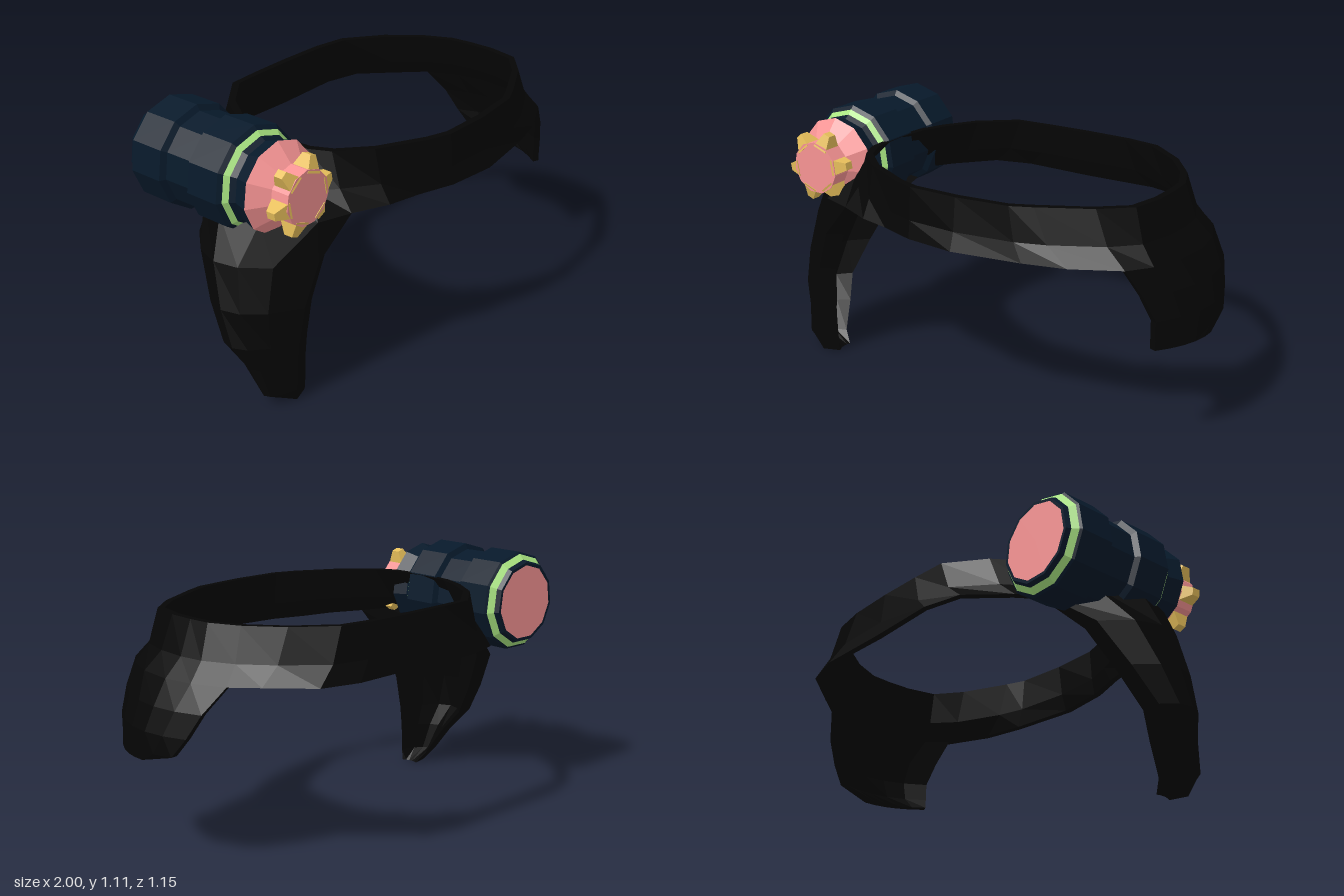
import * as THREE from 'three';

const CENTRE_X = 0.1;
const WALL = 0.03;
const mat = (color) => new THREE.MeshStandardMaterial({ color, flatShading: true });
const lerp = THREE.MathUtils.lerp;

// Plan of the headband, one column per line: top x, z then bottom x, z
const PLAN = [
  [0.79, 0, 0.92, 0], [0.785, 0.12, 0.9, 0.16], [0.75, 0.26, 0.85, 0.29], [0.63, 0.36, 0.775, 0.385],
  [0.42, 0.47, 0.58, 0.485], [0.33, 0.51, 0.4, 0.53], [0.1, 0.535, 0.1, 0.575], [-0.12, 0.53, -0.12, 0.55],
  [-0.22, 0.495, -0.28, 0.495], [-0.42, 0.385, -0.42, 0.46], [-0.54, 0.27, -0.57, 0.39],
  [-0.58, 0.18, -0.71, 0.34], [-0.585, 0.08, -0.85, 0.17], [-0.585, 0, -0.89, 0],
  [-0.56, -0.15, -0.8, -0.17], [-0.51, -0.26, -0.62, -0.27], [-0.42, -0.39, -0.55, -0.37],
  [-0.26, -0.515, -0.4, -0.53], [-0.1, -0.525, -0.23, -0.575], [0.1, -0.53, 0.1, -0.57],
  [0.31, -0.525, 0.43, -0.575], [0.46, -0.5, 0.6, -0.53], [0.62, -0.375, 0.75, -0.37],
  [0.73, -0.23, 0.84, -0.27], [0.785, -0.1, 0.9, -0.13],
];

const bandRow = (y, t) => PLAN.map(([x0, z0, x1, z1]) => [lerp(x0, x1, t), y, lerp(z0, z1, t)]);

// Wall from rows of points (top to bottom), offset towards the centre;
// rows below the first may be thicker
function wall(rows, closed, material, thickness = WALL) {
  const pos = [], idx = [];
  const h = rows.length, w = rows[0].length;
  for (const inner of [0, 1]) {
    rows.forEach((row, i) => {
      const depth = inner * (i === 0 ? WALL : thickness);
      for (const [x, y, z] of row) {
        const k = 1 - depth / Math.hypot(x - CENTRE_X, z);
        pos.push(CENTRE_X + (x - CENTRE_X) * k, y, z * k);
      }
    });
  }
  const out = (i, j) => i * w + (j % w);
  const inn = (i, j) => h * w + out(i, j);
  const quad = (a, b, c, d) => idx.push(a, b, c, b, d, c);
  const n = closed ? w : w - 1;
  for (let j = 0; j < n; j++) {
    for (let i = 0; i < h - 1; i++) {
      quad(out(i, j), out(i, j + 1), out(i + 1, j), out(i + 1, j + 1));
      quad(inn(i, j + 1), inn(i, j), inn(i + 1, j + 1), inn(i + 1, j));
    }
    quad(inn(0, j), inn(0, j + 1), out(0, j), out(0, j + 1));
    quad(out(h - 1, j), out(h - 1, j + 1), inn(h - 1, j), inn(h - 1, j + 1));
  }
  if (!closed) {
    for (let i = 0; i < h - 1; i++) {
      quad(inn(i, 0), out(i, 0), inn(i + 1, 0), out(i + 1, 0));
      quad(out(i, n), inn(i, n), out(i + 1, n), inn(i + 1, n));
    }
  }
  const geo = new THREE.BufferGeometry();
  geo.setAttribute('position', new THREE.Float32BufferAttribute(pos, 3));
  geo.setIndex(idx);
  geo.computeVertexNormals();
  return new THREE.Mesh(geo, material);
}

// Side flap hanging from six band columns; each level is y, zStart, zEnd, xStart, xMiddle, xEnd
function flap(columns, levels, material, thickness) {
  const bottom = bandRow(0.765, 1);
  const rows = [columns.map((c) => bottom[c])];
  for (const [y, z0, z1, x0, xm, x1] of levels) {
    rows.push(columns.map((_, j) => {
      const u = j / (columns.length - 1);
      const x = x0 * (1 - u) * (1 - 2 * u) + xm * 4 * u * (1 - u) + x1 * u * (2 * u - 1);
      return [x, y, lerp(z0, z1, u)];
    }));
  }
  return wall(rows, false, material, thickness);
}

// Lamp along +z, built from coloured lathe sections, with studs round its nose
function createLamp() {
  const lamp = new THREE.Group();
  lamp.name = 'lamp';
  const navy = mat(0x07192a), pink = mat(0xf79494), green = mat(0xa9e581), gold = mat(0xe6be5a);
  const sections = [
    ['rearLens', pink, [[0, -0.44], [0.165, -0.44]]],
    ['rearRim', navy, [[0.165, -0.44], [0.178, -0.44], [0.187, -0.42]]],
    ['rearRing', green, [[0.187, -0.42], [0.21, -0.398]]],
    ['body', navy, [[0.21, -0.398], [0.22, -0.39], [0.22, -0.235], [0.197, -0.22], [0.195, -0.09],
      [0.22, -0.078], [0.22, 0.075], [0.203, 0.09]]],
    ['frontRing', green, [[0.203, 0.09], [0.184, 0.108]]],
    ['neck', navy, [[0.184, 0.108], [0.17, 0.13], [0.19, 0.195]]],
    ['nose', pink, [[0.19, 0.195], [0.115, 0.26], [0.115, 0.343], [0, 0.343]]],
  ];
  for (const [name, material, profile] of sections) {
    const geo = new THREE.LatheGeometry(profile.map(([r, z]) => new THREE.Vector2(r, z)), 11, Math.PI);
    geo.rotateX(Math.PI / 2);
    const mesh = new THREE.Mesh(geo, material);
    mesh.name = name;
    lamp.add(mesh);
  }
  // Tapered four-sided studs
  const studGeo = new THREE.CylinderGeometry(0.45, 1, 0.065, 4, 1);
  studGeo.rotateY(Math.PI / 4);
  studGeo.scale(0.05, 1, 0.062);
  studGeo.translate(0, 0.128, 0.302);
  for (let i = 0; i < 6; i++) {
    const stud = new THREE.Mesh(studGeo, gold);
    stud.name = 'stud';
    stud.rotation.z = THREE.MathUtils.degToRad(-20 + i * 60);
    lamp.add(stud);
  }
  lamp.position.set(-0.757, 0.893, 0);
  lamp.rotation.y = -0.03;
  return lamp;
}

export function createModel() {
  const model = new THREE.Group();
  model.name = 'headLamp';
  const black = mat(0x050505);

  const band = wall([bandRow(0.98, 0), bandRow(0.84, 0.4), bandRow(0.765, 1)], true, black);
  band.name = 'headband';

  // Short flap, back to front
  const leftFlap = flap([23, 24, 0, 1, 2, 3], [
    [0.66, -0.215, 0.36, 0.92, 0.965, 0.845],
    [0.56, -0.16, 0.337, 0.955, 0.995, 0.89],
    [0.48, -0.1, 0.335, 0.98, 0.995, 0.89],
    [0.44, 0.06, 0.335, 1.0, 0.975, 0.89],
  ], black);
  leftFlap.name = 'leftFlap';

  // Long thicker flap, front to back, bulging outwards along its middle
  const rightFlap = flap([10, 11, 12, 13, 14, 15], [
    [0.6, 0.35, -0.19, -0.72, -0.96, -0.82],
    [0.42, 0.33, -0.08, -0.785, -0.99, -0.89],
    [0.27, 0.317, 0.02, -0.805, -0.99, -0.93],
    [0.17, 0.31, 0.1, -0.81, -0.95, -0.89],
    [0.05, 0.305, 0.18, -0.81, -0.925, -0.86],
    [0, 0.3, 0.21, -0.81, -0.825, -0.82],
  ], black, 0.08);
  rightFlap.name = 'rightFlap';

  model.add(band, leftFlap, rightFlap, createLamp());
  return model;
}
